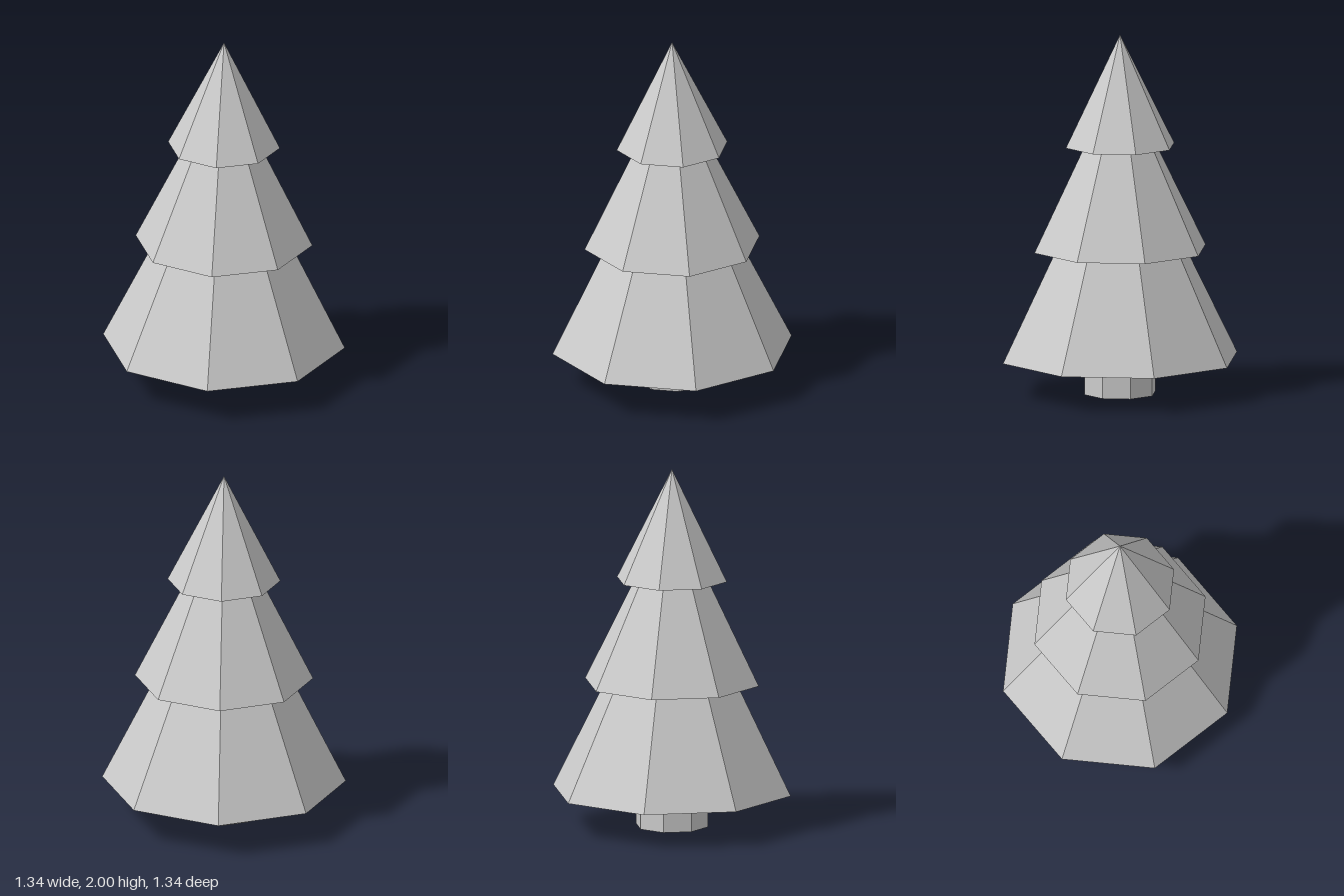
import * as THREE from 'three';

const SIDES = 8;

export function createModel() {
  const group = new THREE.Group();
  group.name = 'pineTree';
  const material = new THREE.MeshStandardMaterial({ color: 0xcccccc, flatShading: true });

  // Eight-sided, closed section of the tree between two heights
  const addSection = (name, y0, y1, bottomRadius, topRadius) => {
    const geometry = topRadius > 0
      ? new THREE.CylinderGeometry(topRadius, bottomRadius, y1 - y0, SIDES)
      : new THREE.ConeGeometry(bottomRadius, y1 - y0, SIDES);
    const mesh = new THREE.Mesh(geometry, material);
    mesh.name = name;
    mesh.position.y = (y0 + y1) / 2;
    group.add(mesh);
  };

  // Trunk
  addSection('trunk', 0, 0.197, 0.202, 0.202);

  // Foliage tiers, each overhanging the one below
  addSection('lowerFoliage', 0.197, 0.805, 0.67, 0.37);
  addSection('middleFoliage', 0.805, 1.382, 0.49, 0.205);
  addSection('topFoliage', 1.382, 2, 0.31, 0);

  return group;
}
